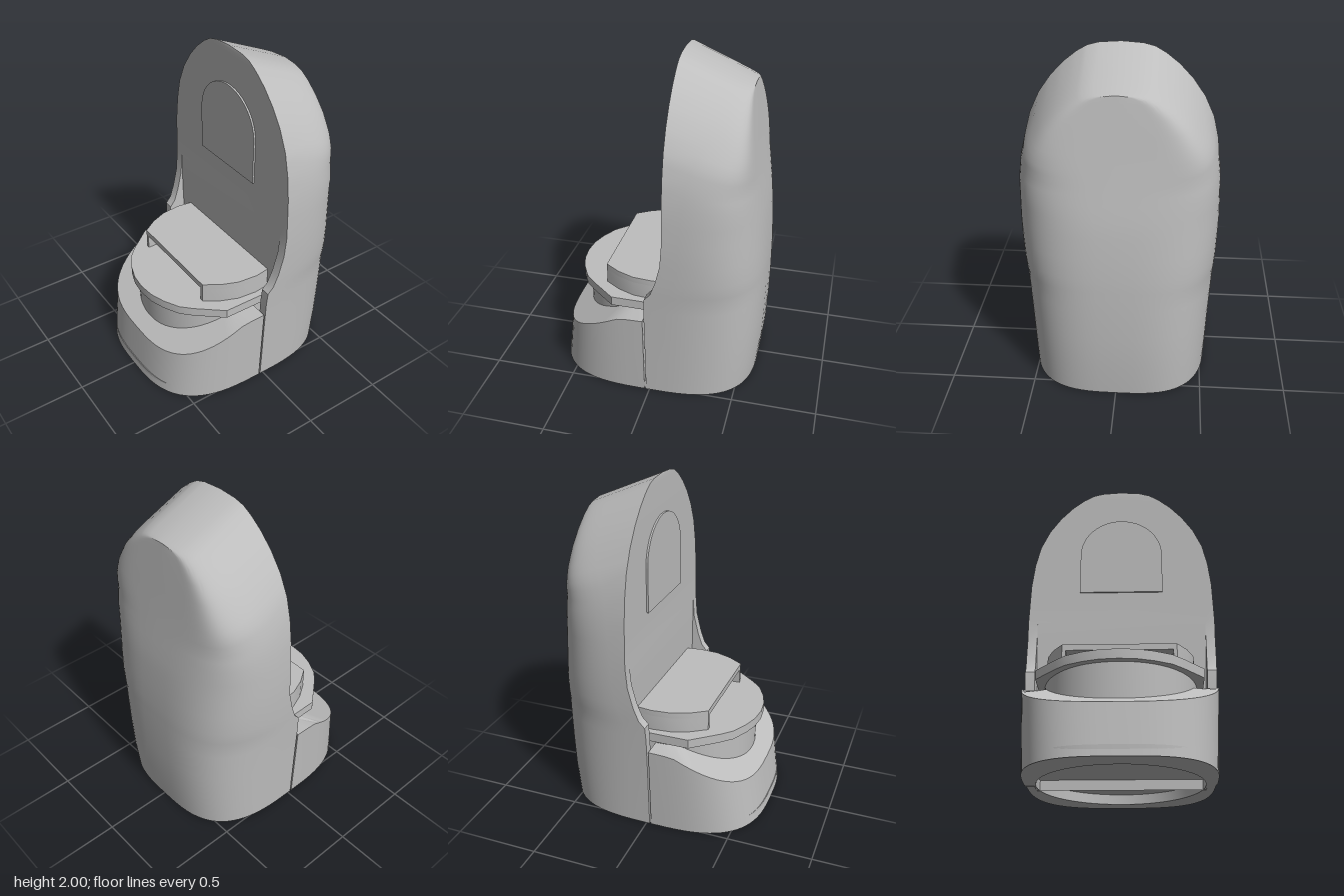
import * as THREE from 'three';
import { toCreasedNormals } from 'three/addons/utils/BufferGeometryUtils.js';

// Piecewise linear lookup in [[key, value], ...]
function lerpTable(table, k) {
  if (k <= table[0][0]) return table[0][1];
  for (let i = 1; i < table.length; i++) {
    const [k0, v0] = table[i - 1], [k1, v1] = table[i];
    if (k <= k1) return v0 + (v1 - v0) * (k - k0) / (k1 - k0);
  }
  return table[table.length - 1][1];
}

// Half superellipse running from +z through the given x side to -z
function halfOval(cx, a, b, n, side, steps = 40) {
  const pts = [];
  for (let i = 0; i <= steps; i++) {
    const t = -Math.PI / 2 + Math.PI * i / steps;
    const c = Math.max(0, Math.cos(t)), s = Math.sin(t);
    pts.push([cx + side * a * Math.pow(c, 2 / n), -b * Math.sign(s) * Math.pow(Math.abs(s), 2 / n)]);
  }
  return pts;
}

// Skin closed loops of equal point count
function loft(rings, caps, crease) {
  const m = rings[0].length, idx = [];
  for (let i = 0; i < rings.length - 1; i++) {
    for (let j = 0; j < m; j++) {
      const k = (j + 1) % m, p = i * m, q = p + m;
      idx.push(p + j, p + k, q + k, p + j, q + k, q + j);
    }
  }
  if (caps) {
    const e = (rings.length - 1) * m;
    for (let j = 1; j < m - 1; j++) idx.push(0, j + 1, j, e, e + j, e + j + 1);
  }
  const g = new THREE.BufferGeometry();
  g.setAttribute('position', new THREE.Float32BufferAttribute(rings.flat(2), 3));
  g.setIndex(idx);
  return toCreasedNormals(g, crease);
}

// Upright prism over an [x, z] outline
function prism(points, y0, y1, hole) {
  const shape = new THREE.Shape(points.map(([x, z]) => new THREE.Vector2(x, -z)));
  if (hole) shape.holes.push(new THREE.Path().absarc(0, 0, hole, 0, Math.PI * 2, true));
  const g = new THREE.ExtrudeGeometry(shape, { depth: y1 - y0, bevelEnabled: false, curveSegments: 24 });
  g.rotateX(-Math.PI / 2).translate(0, y0, 0);
  return toCreasedNormals(g, 0.5);
}

export function createModel() {
  const group = new THREE.Group();
  const grey = new THREE.MeshStandardMaterial({ color: 0xbebebe });
  grey.name = 'plain grey';
  const add = (name, geometry) => {
    const mesh = new THREE.Mesh(geometry, grey);
    mesh.name = name;
    group.add(mesh);
  };

  // Tall rear housing: arched front, sloping roof, bulging back
  const halfWidth = [[0, 0.53], [0.4, 0.548], [0.8, 0.57], [1.05, 0.576], [1.3, 0.568], [1.45, 0.55], [1.58, 0.52],
    [1.7, 0.465], [1.8, 0.395], [1.88, 0.32], [1.94, 0.245], [1.975, 0.185], [1.992, 0.12], [2, 0]];
  const frontX = [[0.6, -0.02], [0.68, -0.015], [0.72, 0.02], [0.8, 0.05], [0.92, 0.08], [1.05, 0.09]];
  const backX = [[0, 0.59], [0.2, 0.61], [0.5, 0.622], [0.8, 0.618], [1.1, 0.597], [1.82, 0.487]];
  const roofDrop = [[1.1, 0], [1.4, 0.45], [1.7, 1]];
  const corner = [[0, 3.1], [1.1, 3], [1.45, 3.8], [1.6, 5], [1.8, 8], [2, 11]];
  const levels = [0, 0.2, 0.4, 0.6, 0.68, 0.72, 0.8, 0.92, 1.05, 1.18, 1.3, 1.38, 1.45, 1.52, 1.58, 1.64, 1.7,
    1.75, 1.8, 1.84, 1.88, 1.91, 1.94, 1.96, 1.975, 1.985, 1.992, 2];
  add('rearHousing', loft(levels.map((y) => {
    const w = lerpTable(halfWidth, y), xf = lerpTable(frontX, y), drop = lerpTable(roofDrop, y);
    const xb = lerpTable(backX, y - 0.17 * drop);
    const loop = halfOval(xf, xb - xf, w, lerpTable(corner, y), 1);
    loop.push([xf, -w * 0.9], [0.09, -w * 0.9], [0.09, w * 0.9], [xf, w * 0.9]);
    return loop.map(([x, z]) => [x, y - drop * 0.43 * Math.max(0, x - 0.09), z]);
  }), false, 0.6));

  // Arched panel on the housing front
  const arch = new THREE.Shape();
  arch.moveTo(-0.26, 1.25);
  arch.lineTo(0.26, 1.25);
  arch.lineTo(0.26, 1.52);
  arch.absellipse(0, 1.52, 0.26, 0.25, 0, Math.PI, false);
  const panel = new THREE.ExtrudeGeometry(arch, { depth: 0.012, bevelEnabled: false, curveSegments: 12 });
  panel.rotateY(-Math.PI / 2).translate(0.091, 0, 0);
  add('frontPanel', panel);

  // Low front collar with a sloping rim
  const rim = [[-0.59, 0.29], [-0.17, 0.515], [-0.03, 0.52]];
  const low = halfOval(-0.03, 0.6, 0.53, 3, -1);
  const high = halfOval(-0.03, 0.56, 0.555, 2.9, -1);
  const inner = halfOval(-0.03, 0.44, 0.43, 2.2, -1);
  add('frontCollar', loft(low.map(([x, z], i) => {
    const [hx, hz] = high[i], [ix, iz] = inner[i];
    return [[x, 0, z], [hx, lerpTable(rim, hx), hz], [ix, lerpTable(rim, ix), iz], [ix, 0.06, iz]];
  }), true, 0.5));

  // Drum and the wider faceted lid above it
  const lidEdge = [[0.092, 0.475], [-0.24, 0.47], [-0.39, 0.345], [-0.45, 0.285], [-0.5, 0.19], [-0.53, 0.1]];
  const lid = [...lidEdge, [-0.54, 0], ...lidEdge.map(([x, z]) => [x, -z]).reverse()];
  const drum = halfOval(0, 0.495, 0.44, 2.1, -1);
  add('drum', prism([[0.092, 0.44], ...drum, [0.092, -0.44]], 0.08, 0.55));
  add('lid', prism(lid, 0.545, 0.6));

  // Raised step with an undercut front edge
  const right = [[-0.31, -0.32], [-0.22, -0.38], [-0.12, -0.42], [0, -0.432], [0.092, -0.42]];
  const left = right.map(([x, z]) => [x, -z]).reverse();
  add('stepTop', prism([...right, ...left], 0.69, 0.725));
  add('stepBody', prism([...right, ...left, [-0.31, 0.3], [-0.22, 0.3], [-0.22, -0.3], [-0.31, -0.3]], 0.6, 0.69));

  // Underside ring and recessed floor
  const outline = [...halfOval(-0.02, 0.605, 0.525, 3.1, 1), ...halfOval(-0.03, 0.595, 0.525, 3, -1).reverse()];
  add('undersideRing', prism(outline, 0.002, 0.06, 0.47));
  const floor = new THREE.CylinderGeometry(0.49, 0.49, 0.02, 24);
  floor.translate(0, 0.07, 0);
  add('undersideFloor', floor);

  return group;
}
